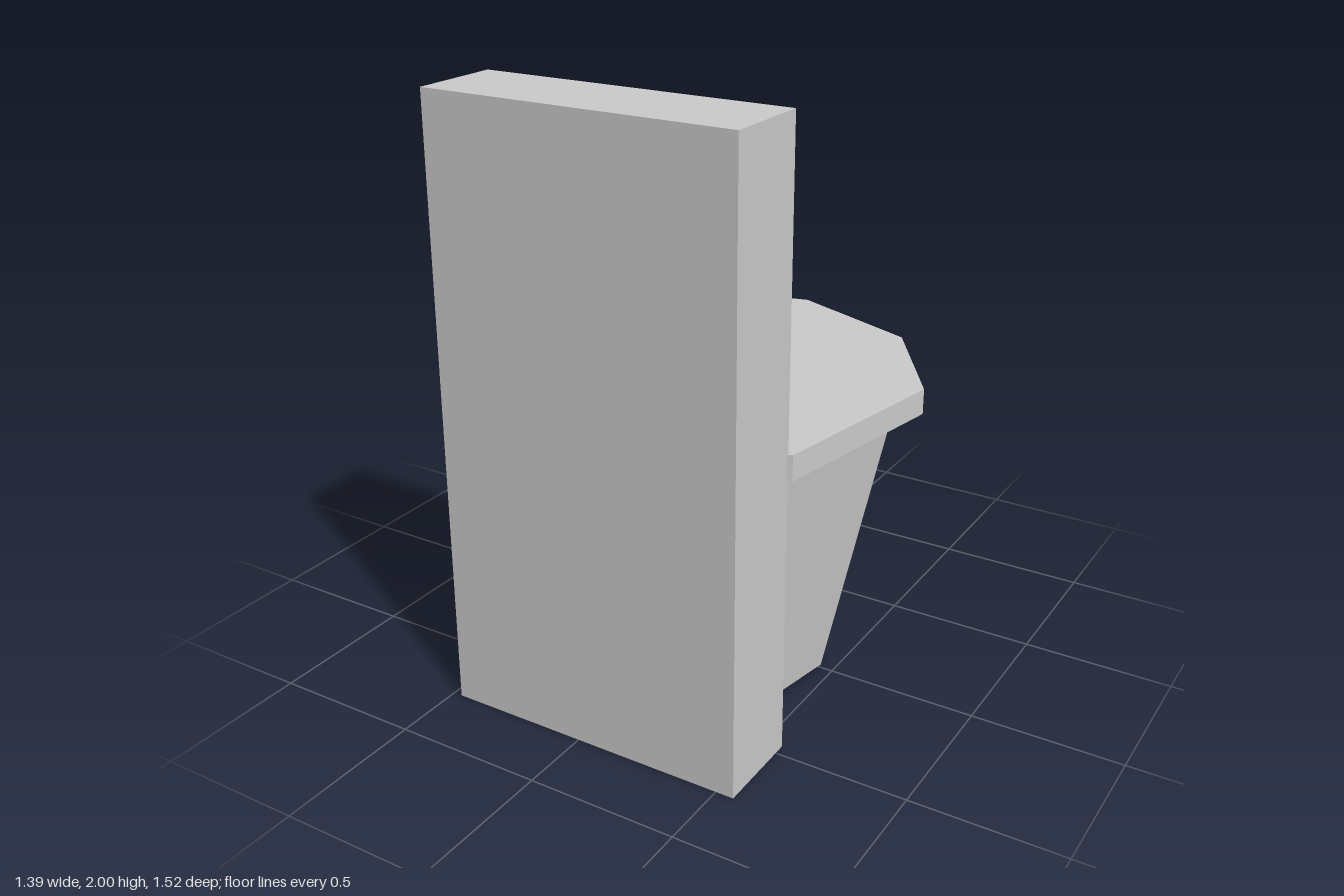
import * as THREE from 'three';

// Outlines as [x, z], counter-clockwise seen from above; the last point lies inside the back panel
const SEAT = [[0.575, 0.46], [0.695, -0.19], [0.44, -0.58], [-0.02, -0.76],
  [-0.55, -0.63], [-0.7, -0.19], [-0.56, 0.47], [0, 0.66]];
const BOWL_TOP = [[0.49, 0.4], [0.6, -0.18], [0.375, -0.52], [-0.03, -0.675],
  [-0.49, -0.57], [-0.61, -0.18], [-0.49, 0.41], [0, 0.59]];
const BOWL_BOTTOM = [[0.37, 0.425], [0.45, -0.015], [0.27, -0.27], [-0.03, -0.39],
  [-0.365, -0.32], [-0.47, -0.03], [-0.37, 0.43], [0, 0.6]];
const SEAT_Y = 0.915;

// Flat-faced wall between two outlines, open at both ends
function wallBetween(lower, y0, upper, y1) {
  const pos = [];
  const n = lower.length;
  for (let i = 0; i < n; i++) {
    const j = (i + 1) % n;
    const a = [lower[i][0], y0, lower[i][1]];
    const b = [lower[j][0], y0, lower[j][1]];
    const c = [upper[j][0], y1, upper[j][1]];
    const d = [upper[i][0], y1, upper[i][1]];
    pos.push(...a, ...b, ...c, ...a, ...c, ...d);
  }
  const geo = new THREE.BufferGeometry();
  geo.setAttribute('position', new THREE.Float32BufferAttribute(pos, 3));
  geo.computeVertexNormals();
  return geo;
}

export function createModel() {
  const group = new THREE.Group();
  group.name = 'toilet';
  const grey = new THREE.MeshStandardMaterial({
    color: 0xcccccc, flatShading: true, side: THREE.DoubleSide,
  });
  grey.name = 'light grey';

  const add = (name, geo) => {
    const mesh = new THREE.Mesh(geo, grey);
    mesh.name = name;
    group.add(mesh);
    return mesh;
  };

  // Tall upright slab
  add('backPanel', new THREE.BoxGeometry(1.03, 2, 0.3)).position.set(0.045, 1, 0.61);

  // Flat irregular lid
  const outline = new THREE.Shape(SEAT.map(([x, z]) => new THREE.Vector2(x, -z)));
  const seat = new THREE.ExtrudeGeometry(outline, { depth: 1 - SEAT_Y, bevelEnabled: false });
  seat.rotateX(-Math.PI / 2);
  add('seat', seat).position.y = SEAT_Y;

  // Tapered bowl, open underneath
  add('bowl', wallBetween(BOWL_BOTTOM, 0, BOWL_TOP, SEAT_Y));

  return group;
}
